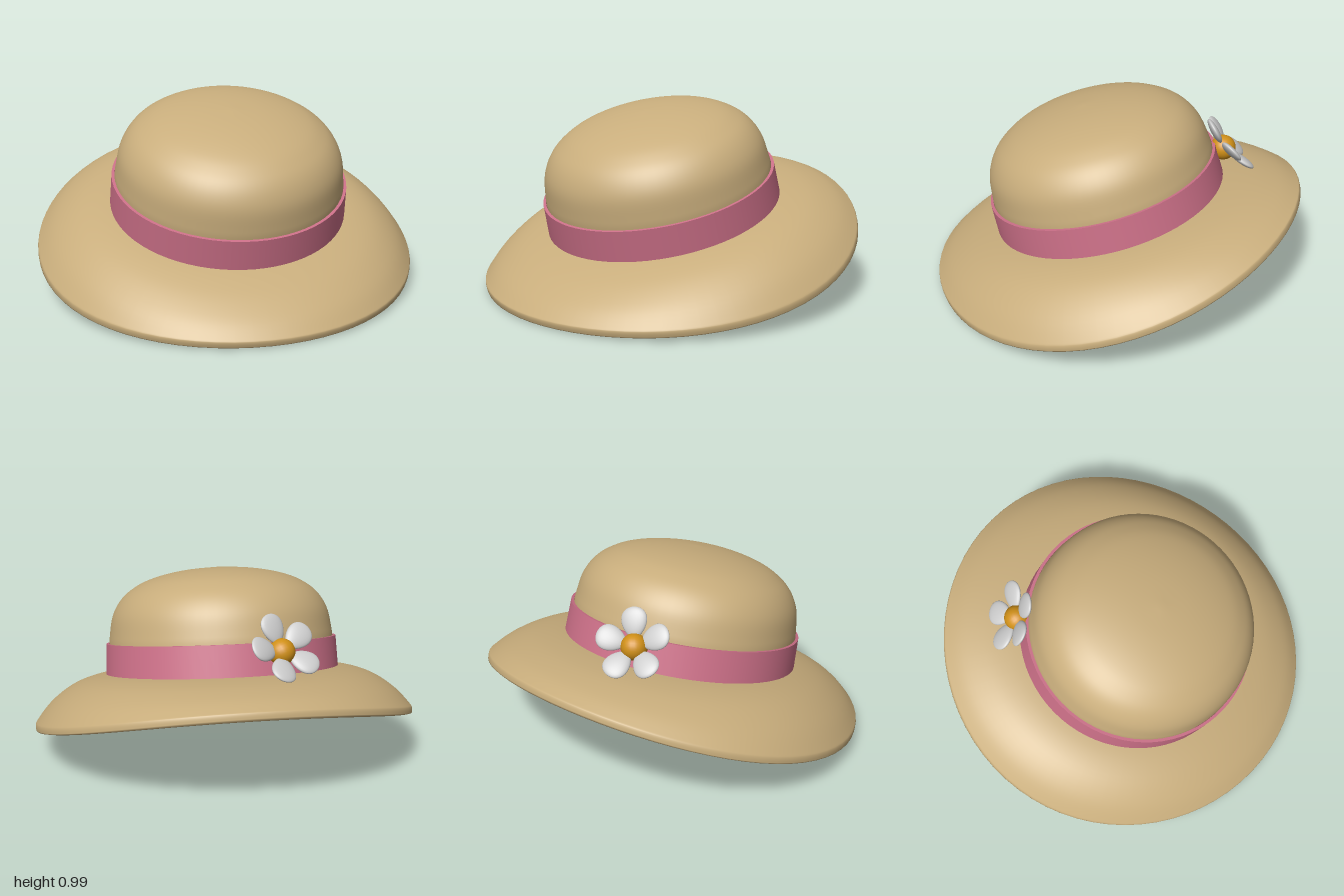
import * as THREE from 'three';
import { mergeVertices } from 'three/addons/utils/BufferGeometryUtils.js';

const mat = (color) => new THREE.MeshStandardMaterial({ color });
const vecs = (pts) => pts.map(([x, y]) => new THREE.Vector2(x, y));

// Joins the seams of a moved geometry and gives it smooth normals
function smooth(geometry) {
  geometry.deleteAttribute('uv');
  geometry.deleteAttribute('normal');
  const merged = mergeVertices(geometry, 1e-4);
  merged.computeVertexNormals();
  return merged;
}

// Hollow crown and brim in one turned shell; the brim sides droop
function hatGeometry() {
  const spline = (pts, n) => new THREE.SplineCurve(vecs(pts)).getPoints(n);
  const inside = spline([[0, 0.66], [0.1, 0.64], [0.28, 0.56], [0.43, 0.475], [0.52, 0.425],
    [0.6, 0.398], [0.68, 0.372], [0.8, 0.325], [0.9, 0.281], [0.99, 0.246]], 40);
  const brimTop = spline([[1.0, 0.254], [1.0, 0.282], [0.985, 0.296], [0.913, 0.337], [0.8, 0.377],
    [0.69, 0.401], [0.6, 0.414]], 24);
  const crown = spline([[0.597, 0.43], [0.597, 0.56], [0.591, 0.62], [0.577, 0.70], [0.552, 0.76],
    [0.514, 0.812], [0.464, 0.853], [0.39, 0.893], [0.28, 0.926], [0.15, 0.947], [0, 0.956]], 40);
  inside[0].x = 0;
  crown[crown.length - 1].x = 0;

  const geometry = new THREE.LatheGeometry([...inside, ...brimTop, ...crown], 72);
  const p = geometry.attributes.position;
  for (let i = 0; i < p.count; i++) {
    const x = p.getX(i), r = Math.hypot(x, p.getZ(i));
    if (r <= 0.6) continue;
    const side = (x / r) ** 2;
    p.setY(i, p.getY(i) - 0.112 * side * ((r - 0.6) / 0.4) ** 2.7);
  }
  return smooth(geometry);
}

// Petal along +y: a flattened ball, narrow at its root
function petalGeometry() {
  const geometry = new THREE.SphereGeometry(1, 24, 16);
  const p = geometry.attributes.position;
  for (let i = 0; i < p.count; i++) {
    const t = p.getY(i);
    p.setXYZ(i, p.getX(i) * 0.068 * (0.92 + 0.2 * t), 0.118 + 0.075 * t, p.getZ(i) * 0.02);
  }
  return smooth(geometry);
}

export function createModel() {
  const model = new THREE.Group();
  model.name = 'sunHat';

  // Hat body and ribbon, tipped forward
  const hat = new THREE.Group();
  hat.name = 'hat';
  hat.rotation.x = THREE.MathUtils.degToRad(15);
  hat.position.set(0, 0.016, -0.068);
  model.add(hat);

  const body = new THREE.Mesh(hatGeometry(), mat(0xc8ad7c));
  body.name = 'crownAndBrim';
  hat.add(body);

  // Ribbon: separate lathes per face keep the edges sharp
  const ribbon = new THREE.Group();
  ribbon.name = 'ribbon';
  const pink = mat(0xcc7088);
  const ring = [[0.598, 0.40], [0.621, 0.40], [0.613, 0.57], [0.598, 0.57], [0.598, 0.40]];
  for (let i = 0; i < 4; i++) {
    const face = new THREE.Mesh(new THREE.LatheGeometry(vecs([ring[i], ring[i + 1]]), 72), pink);
    face.name = 'ribbonFace';
    ribbon.add(face);
  }
  hat.add(ribbon);

  // Flower on the back of the ribbon, facing out and up
  const flower = new THREE.Group();
  flower.name = 'flower';
  const up = new THREE.Vector3(0.40, 0.74, 0.54).normalize();
  const out = new THREE.Vector3(-0.9, 0, 0.42).cross(up).normalize();
  const across = up.clone().cross(out);
  flower.quaternion.setFromRotationMatrix(new THREE.Matrix4().makeBasis(across, up, out));
  flower.position.set(-0.202, 0.682, -0.53);
  model.add(flower);

  const center = new THREE.Mesh(new THREE.SphereGeometry(0.066, 24, 16), mat(0xd09018));
  center.name = 'flowerCenter';
  flower.add(center);

  // Petals cup slightly forward
  const petal = petalGeometry();
  const white = mat(0xcccccc);
  for (let i = 0; i < 5; i++) {
    const mesh = new THREE.Mesh(petal, white);
    mesh.name = 'petal';
    mesh.rotation.set(0.26, 0, (i * Math.PI * 2) / 5, 'ZYX');
    flower.add(mesh);
  }
  return model;
}
